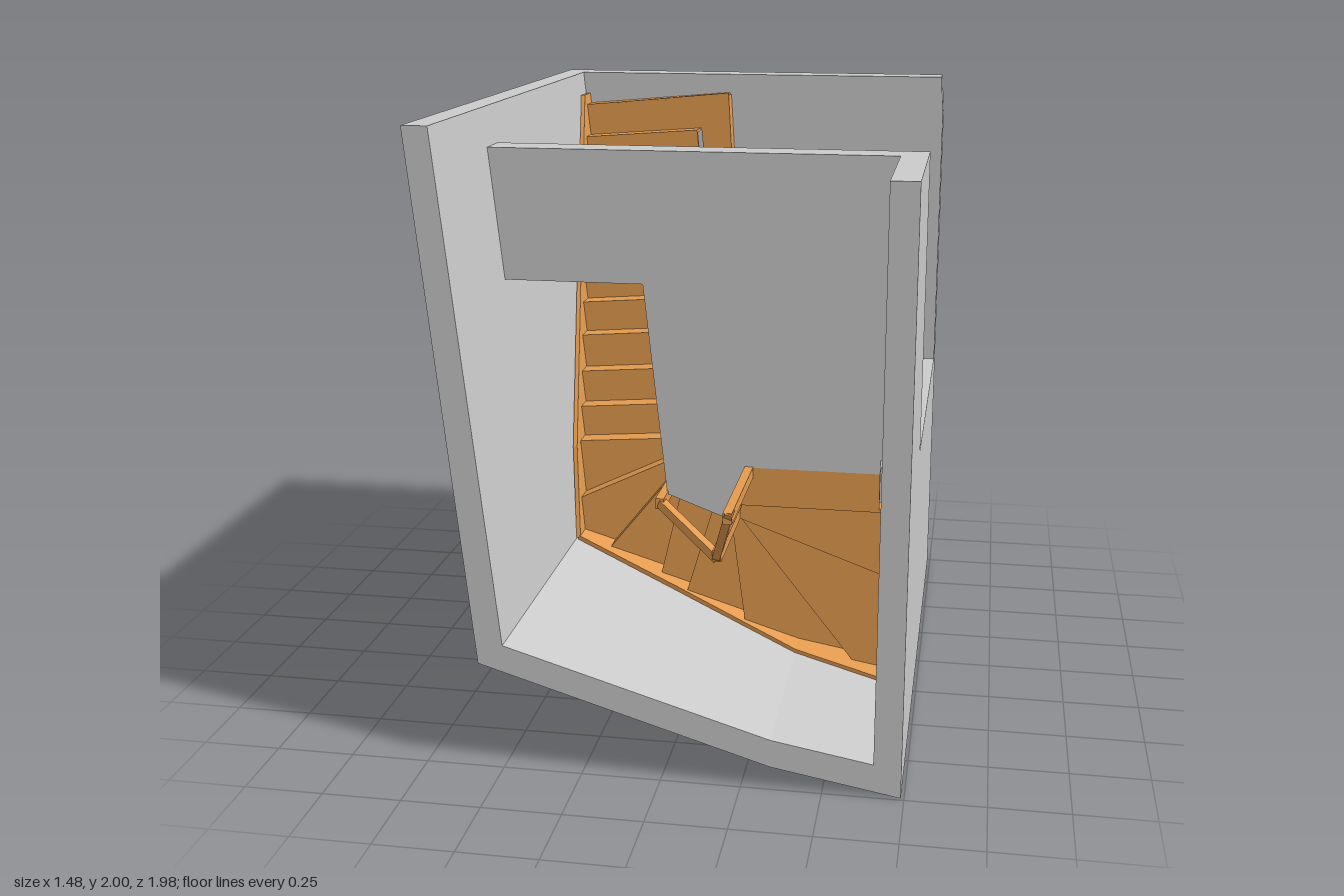
import * as THREE from 'three';

const grey = new THREE.MeshStandardMaterial({ color: 0xcccccc, flatShading: true, side: THREE.DoubleSide });
const wood = new THREE.MeshStandardMaterial({ color: 0xe69d50, flatShading: true, side: THREE.DoubleSide });

// Outline in the xy plane, extruded from z0 to z1
function plate(name, points, z0, z1, material) {
  const shape = new THREE.Shape(points.map(([x, y]) => new THREE.Vector2(x, y)));
  const geometry = new THREE.ExtrudeGeometry(shape, { depth: z1 - z0, bevelEnabled: false });
  geometry.translate(0, 0, z0);
  const mesh = new THREE.Mesh(geometry, material);
  mesh.name = name;
  return mesh;
}

// Upright board from plan point p to q, with its own z range at each end
function board(name, p, q, [p0, p1], [q0, q1], thick = 0.02, material = wood) {
  const geometry = new THREE.BoxGeometry(1, 1, 1);
  const pos = geometry.attributes.position;
  const dx = q[0] - p[0], dy = q[1] - p[1], len = Math.hypot(dx, dy);
  for (let i = 0; i < pos.count; i++) {
    const t = pos.getX(i) + 0.5, s = pos.getY(i) * thick, h = pos.getZ(i) + 0.5;
    const low = p0 + (q0 - p0) * t, high = p1 + (q1 - p1) * t;
    pos.setXYZ(i, p[0] + dx * t - dy / len * s, p[1] + dy * t + dx / len * s, low + (high - low) * h);
  }
  geometry.computeVertexNormals();
  const mesh = new THREE.Mesh(geometry, material);
  mesh.name = name;
  return mesh;
}

// Chain of boards through nodes [x, y, zLow, zHigh]
function chain(name, nodes, thick) {
  const group = new THREE.Group();
  group.name = name;
  for (let i = 1; i < nodes.length; i++) {
    const a = nodes[i - 1], b = nodes[i];
    group.add(board(name + 'Section', a, b, a.slice(2), b.slice(2), thick));
  }
  return group;
}

const wallX = y => -0.66 + (2 - y) * 0.104;     // inner face of the slanted wall
const innerX = y => -0.15 + (1.45 - y) * 0.1;   // open side of the straight flight

function createStairs() {
  const stairs = new THREE.Group();
  stairs.name = 'stairs';

  // Front edge of each step: [outer point, inner point]
  const edges = [1.875, 1.76, 1.645, 1.53, 1.415, 1.3, 1.185, 1.075, 0.955, 0.84, 0.73].map(y => {
    const yi = y + 0.035;
    return [[wallX(y), y], [innerX(yi), yi]];
  });
  edges.push(
    [[-0.507, 0.53], [-0.095, 0.73]], [[-0.37, 0.375], [-0.09, 0.725]],
    [[-0.165, 0.315], [-0.07, 0.72]], [[-0.06, 0.283], [0.06, 0.69]],
    [[0.16, 0.217], [0.1, 0.675]], [[0.55, 0.125], [0.13, 0.66]],
    [[0.65, 0.48], [0.15, 0.66]], [[0.65, 0.73], [0.17, 0.73]]);
  // Wall corners falling inside a step
  const corners = { 11: [[-0.495, 0.41]], 15: [[0.34, 0.16]], 16: [[0.65, 0.105]] };

  const rise = 0.0705;
  edges.forEach(([o, n], k) => {
    const top = -0.87 + rise * (k + 1);
    const next = edges[k + 1];
    if (k > 0) {
      const outline = next
        ? [o, ...(corners[k] || []), next[0], next[1], n]
        : [[0.17, 0.73], [0.62, 0.73], [0.62, 0.855], [0.2, 0.855]];
      stairs.add(plate('tread', outline, top - 0.015, top, wood));
    }
    stairs.add(board('riser', o, n, [top - rise, top], [top - rise, top], 0.01));
  });

  // Wide bottom step wrapping around the start of the flight
  stairs.add(plate('bottomStep', [[-0.648, 1.76], [-0.18, 1.8], [-0.16, 1.58], [-0.055, 1.58],
    [-0.075, 1.935], [-0.648, 1.88]], -0.815, -0.8, wood));
  stairs.add(board('bottomStepFront', [-0.648, 1.875], [-0.08, 1.925], [-0.87, -0.8], [-0.87, -0.8], 0.012));
  stairs.add(board('bottomStepSide', [-0.08, 1.925], [-0.06, 1.58], [-0.87, -0.8], [-0.87, -0.8], 0.012));

  // Strings carrying the steps
  stairs.add(chain('wallString', [
    [-0.642, 1.92, -0.87, -0.78], [-0.637, 1.87, -0.87, -0.75], [-0.515, 0.73, -0.2, -0.04],
    [-0.487, 0.415, -0.12, 0.05], [-0.1, 0.3, 0.02, 0.19], [0.34, 0.165, 0.16, 0.35],
    [0.645, 0.112, 0.24, 0.42], [0.645, 0.73, 0.32, 0.47]], 0.015));
  stairs.add(chain('openString', [
    [innerX(1.57), 1.57, -0.69, -0.567], [-0.085, 0.74, -0.19, -0.04]], 0.025));
  stairs.add(chain('winderString', [
    [-0.085, 0.74, -0.04, 0.14], [0.14, 0.66, 0.17, 0.35], [0.2, 0.855, 0.35, 0.5]], 0.02));

  // Handrails and posts
  stairs.add(chain('flightHandrail', [
    [innerX(1.61), 1.61, -0.25, -0.2], [-0.085, 0.74, 0.285, 0.345]], 0.025));
  stairs.add(chain('winderHandrail', [
    [-0.09, 0.742, 0.5, 0.55], [0.14, 0.66, 0.75, 0.8], [0.2, 0.855, 0.87, 0.93]], 0.025));
  const posts = [
    [innerX(1.59), 1.59, -0.68, -0.2], [-0.085, 0.742, -0.1, 0.55],
    [0.142, 0.668, 0.17, 0.79], [0.195, 0.84, 0.35, 0.92]];
  for (const [x, y, z0, z1] of posts) {
    stairs.add(board('post', [x, y - 0.018], [x, y + 0.018], [z0, z1], [z0, z1], 0.028));
  }
  return stairs;
}

export function createModel() {
  const model = new THREE.Group();
  model.name = 'stairwell';

  // Base plate under the whole plan
  model.add(plate('basePlate', [[-0.74, 2], [-0.575, 0.345], [0.34, 0.07], [0.74, 0], [0.74, 1.87],
    [0.73, 2]], -0.99, -0.87, grey));
  // Slanted side wall and folded lower wall in one run
  model.add(plate('outerWall', [[-0.74, 2], [-0.575, 0.345], [0.34, 0.07], [0.74, 0], [0.655, 0.105],
    [0.34, 0.16], [-0.495, 0.41], [-0.66, 2]], -0.87, 0.99, grey));
  // Right wall, low beneath the upper floor and taller above it
  model.add(plate('lowRightWall', [[0.74, 0], [0.74, 0.9], [0.62, 0.9], [0.62, 0.73], [0.655, 0.73],
    [0.655, 0.105]], -0.87, 0.35, grey));
  model.add(plate('tallRightWall', [[0.74, 0], [0.74, 1.875], [0.655, 1.875], [0.655, 0.105]], 0.35, 0.99, grey));
  // Upper floor with the stair opening
  model.add(plate('upperFloor', [[wallX(1.875), 1.875], [wallX(1.45), 1.45], [-0.15, 1.45], [-0.075, 0.75],
    [0.14, 0.67], [0.2, 0.855], [0.62, 0.855], [0.62, 0.9], [0.655, 0.9], [0.655, 1.875]], 0.35, 0.47, grey));
  // Panel closing the side of the top landing
  model.add(board('landingPanel', [0.18, 0.845], [0.62, 0.845], [0.17, 0.35], [0.165, 0.35], 0.02, grey));

  model.add(createStairs());
  return model;
}
